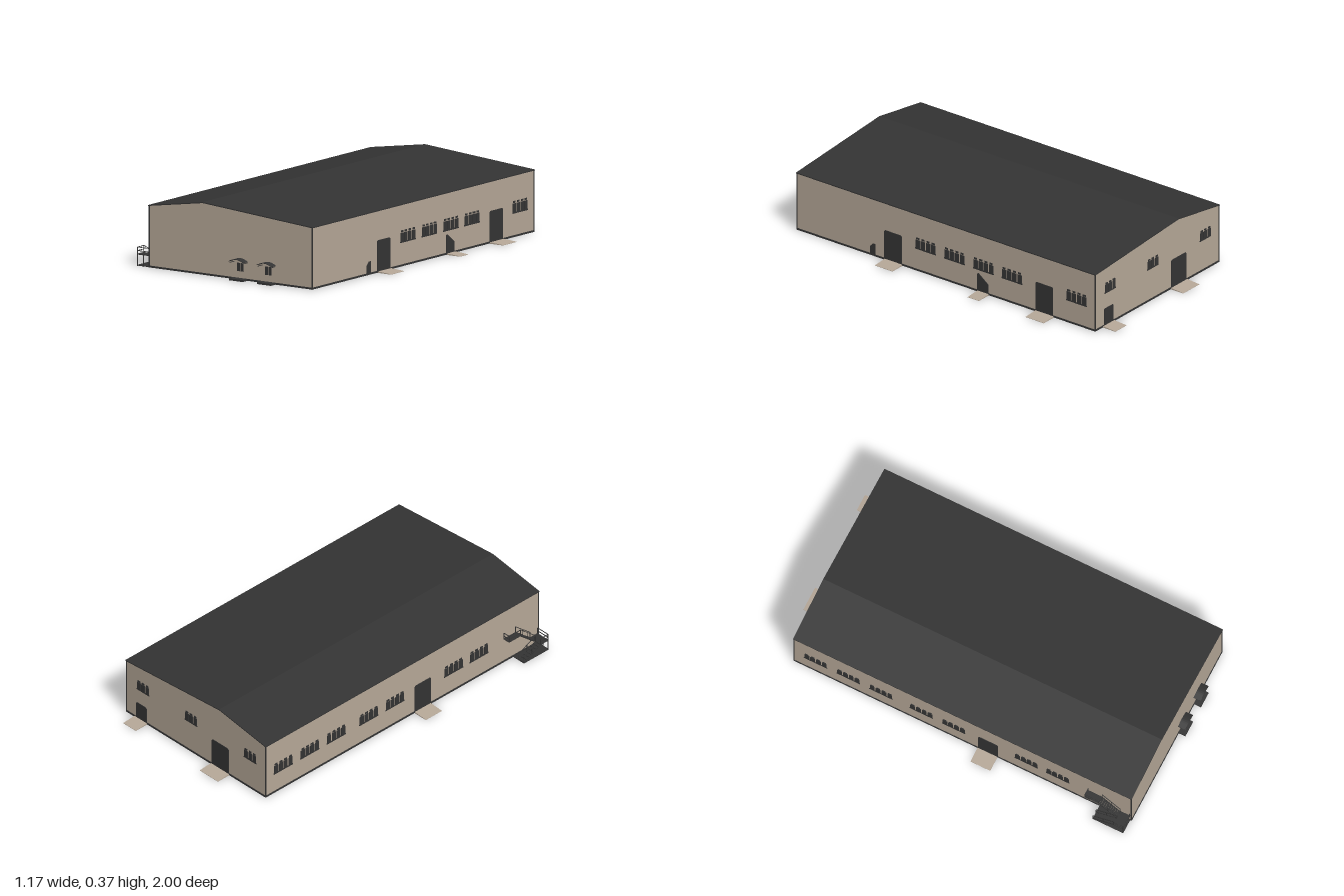
import * as THREE from 'three';

const stone = new THREE.MeshStandardMaterial({ color: 0xb6a898, side: THREE.DoubleSide });
stone.name = 'beige wall';
const dark = new THREE.MeshStandardMaterial({ color: 0x343434, side: THREE.DoubleSide });
dark.name = 'dark metal';

const W = 0.5, ZF = 0.96, ZB = -0.92, EAVE = 0.315, RIDGE = 0.367, RX = -0.17;

function add(parent, name, geo, mat, x = 0, y = 0, z = 0) {
  const m = new THREE.Mesh(geo, mat);
  m.name = name;
  m.position.set(x, y, z);
  parent.add(m);
  return m;
}
const box = (w, h, d) => new THREE.BoxGeometry(w, h, d);
const shape = pts => new THREE.Shape(pts.map(p => new THREE.Vector2(...p)));

// thin rod between two points
function bar(parent, name, a, b, t = 0.003) {
  const p = new THREE.Vector3(...a), q = new THREE.Vector3(...b);
  const m = add(parent, name, box(t, t, p.distanceTo(q)), dark);
  m.position.copy(p).add(q).multiplyScalar(0.5);
  m.lookAt(q);
}

// plate showing on both faces of a wall; points are along the wall and up
function plate(wall, name, pts) {
  const g = new THREE.ExtrudeGeometry(shape(pts), { depth: 0.006, bevelEnabled: false });
  add(wall, name, g, dark, 0, 0, -0.003);
}
function door(wall, a, b, top) {
  const c = 0.006;
  plate(wall, 'door', [[a, 0.01], [b, 0.01], [b, top - c], [b - c, top], [a + c, top], [a, top - c]]);
}
// row of panes with a sill and narrow glazing gaps
function windowRow(wall, u, v, w, h, n = 4) {
  const step = w / n;
  for (let i = 0; i < n; i++) {
    const x = u - w / 2 + step * (i + 0.5);
    add(wall, 'windowPane', box(step * 0.8, h * 0.72, 0.006), dark, x, v - h * 0.06, 0);
    add(wall, 'topLight', box(step * 0.55, h * 0.14, 0.006), dark, x, v + h * 0.42, 0);
  }
  add(wall, 'windowSill', box(w, 0.006, 0.006), dark, u, v - h * 0.42, 0);
}
// sloping slab in front of a door
function ramp(wall, a, b, depth) {
  const g = box(b - a, 0.008, depth), p = g.attributes.position;
  for (let i = 0; i < p.count; i++) if (p.getZ(i) > 0 && p.getY(i) > 0) p.setY(i, -0.002);
  g.computeVertexNormals();
  add(wall, 'ramp', g, stone, (a + b) / 2, 0.005, depth / 2);
}
// wall in its own frame: x along, y up, z outward
function makeWall(root, name, pts, x, z, turn) {
  const wall = new THREE.Group();
  wall.name = name;
  wall.position.set(x, 0, z);
  wall.rotation.y = turn;
  root.add(wall);
  add(wall, name + 'Panel', new THREE.ShapeGeometry(shape(pts)), stone);
  const us = pts.map(p => p[0]), lo = Math.min(...us), hi = Math.max(...us);
  add(wall, 'plinth', box(hi - lo, 0.009, 0.007), dark, (lo + hi) / 2, 0.0075, 0);
  return wall;
}

function makeStairs(root) {
  const s = new THREE.Group();
  s.name = 'outsideStairs';
  root.add(s);
  const flight = (x, z0, y0, z1, y1, n) => {
    for (let i = 0; i < n; i++) {
      const t = (i + 0.5) / n;
      add(s, 'tread', box(0.036, 0.003, Math.abs(z1 - z0) / n), dark, x, y0 + (y1 - y0) * t, z0 + (z1 - z0) * t);
    }
    for (const e of [-0.018, 0.018]) {
      bar(s, 'stringer', [x + e, y0, z0], [x + e, y1, z1], 0.004);
      bar(s, 'handrail', [x + e, y0 + 0.036, z0], [x + e, y1 + 0.036, z1]);
      for (const t of [0, 0.5, 1]) {
        const y = y0 + (y1 - y0) * t, z = z0 + (z1 - z0) * t;
        bar(s, 'railPost', [x + e, y, z], [x + e, y + 0.036, z]);
      }
    }
  };
  flight(-0.56, 0.785, 0.004, 0.9, 0.06, 7);
  flight(-0.521, 0.9, 0.06, 0.8, 0.145, 9);
  add(s, 'landing', box(0.08, 0.004, 0.055), dark, -0.54, 0.06, 0.927);
  add(s, 'topPlatform', box(0.04, 0.004, 0.08), dark, -0.521, 0.145, 0.76);
  add(s, 'footing', box(0.08, 0.004, 0.17), dark, -0.54, 0.004, 0.87);
  // guard rails round the landing and the top platform
  const rail = (y, pts) => pts.forEach((p, i) => {
    bar(s, 'railPost', [p[0], y, p[1]], [p[0], y + 0.036, p[1]]);
    if (i) for (const h of [0.018, 0.036])
      bar(s, 'guardRail', [pts[i - 1][0], y + h, pts[i - 1][1]], [p[0], y + h, p[1]]);
  });
  rail(0.06, [[-0.578, 0.9], [-0.578, 0.953], [-0.503, 0.953]]);
  rail(0.145, [[-0.54, 0.8], [-0.54, 0.722], [-0.503, 0.722]]);
  for (const x of [-0.578, -0.542]) bar(s, 'landingLeg', [x, 0, 0.953], [x, 0.06, 0.953]);
}

export function createModel() {
  const root = new THREE.Group();
  root.name = 'hall';
  const y0 = 0.004;
  const gable = k => [[-W, y0], [W, y0], [W, EAVE], [RX * k, RIDGE], [-W, EAVE]];
  const side = (a, b) => [[a, y0], [b, y0], [b, EAVE], [a, EAVE]];

  // front wall with two canopied entrances
  const front = makeWall(root, 'frontWall', gable(1), 0, ZF, 0);
  for (const x of [0.06, 0.232]) {
    for (const d of [-0.011, 0.011])
      add(front, 'entranceDoor', box(0.017, 0.042, 0.006), dark, x + d, 0.067, 0);
    add(front, 'doorstep', box(0.085, 0.01, 0.04), dark, x, 0.007, 0.02);
    const arc = [], n = 10;
    for (let i = 0; i <= n; i++) arc.push([-0.044 + 0.088 * i / n, 0.1 + 0.013 * Math.sin(Math.PI * i / n)]);
    const strip = arc.concat(arc.map(([u, v]) => [u, v - 0.003]).reverse());
    add(front, 'canopy', new THREE.ExtrudeGeometry(shape(strip), { depth: 0.04, bevelEnabled: false }), dark, x);
    for (const d of [-0.04, 0.04]) bar(front, 'canopyBracket', [x + d, 0.085, 0], [x + d, 0.1, 0.037]);
  }

  // back wall
  const back = makeWall(root, 'backWall', gable(-1), 0, ZB, Math.PI);
  for (const [u, v] of [[-0.38, 0.21], [-0.035, 0.205], [0.39, 0.2]]) windowRow(back, u, v, 0.09, 0.06, 3);
  door(back, 0.115, 0.235, 0.16);
  door(back, -0.43, -0.355, 0.1);
  ramp(back, 0.11, 0.24, 0.08);
  ramp(back, -0.44, -0.35, 0.08);

  // left wall (+x)
  const left = makeWall(root, 'leftWall', side(-ZF, -ZB), W, 0, Math.PI / 2);
  for (const u of [-0.15, 0.032, 0.215, 0.395, 0.803]) windowRow(left, u, 0.153, 0.13, 0.066);
  door(left, -0.41, -0.3, 0.166);
  door(left, 0.545, 0.655, 0.166);
  plate(left, 'smallDoor', [[0.175, 0.01], [0.245, 0.01], [0.245, 0.06], [0.185, 0.105], [0.175, 0.1]]);
  plate(left, 'hatch', [[-0.5, 0.01], [-0.465, 0.01], [-0.465, 0.07], [-0.48, 0.07], [-0.5, 0.05]]);
  for (const [a, b] of [[-0.405, -0.295], [0.18, 0.25], [0.545, 0.66]]) ramp(left, a, b, 0.083);

  // right wall (-x)
  const right = makeWall(root, 'rightWall', side(ZB, ZF), -W, 0, -Math.PI / 2);
  for (const u of [-0.8, -0.617, -0.435, -0.21, -0.03, 0.375, 0.55]) windowRow(right, u, 0.145, 0.13, 0.066);
  door(right, 0.108, 0.218, 0.166);
  ramp(right, 0.105, 0.215, 0.083);

  // roof sheet
  const t = 0.005, e = W + 0.005;
  const roof = shape([[-e, EAVE - 0.001], [RX, RIDGE - 0.001], [e, EAVE - 0.001],
    [e, EAVE + t - 0.001], [RX, RIDGE + t - 0.001], [-e, EAVE + t - 0.001]]);
  const len = ZF - ZB + 0.008;
  add(root, 'roof', new THREE.ExtrudeGeometry(roof, { depth: len, bevelEnabled: false }), dark, 0, 0, ZB - 0.004);

  // corner trims
  for (const x of [-W, W]) for (const z of [ZF, ZB])
    add(root, 'cornerTrim', box(0.005, EAVE, 0.005), dark, x, EAVE / 2 + 0.002, z);

  makeStairs(root);
  return root;
}
